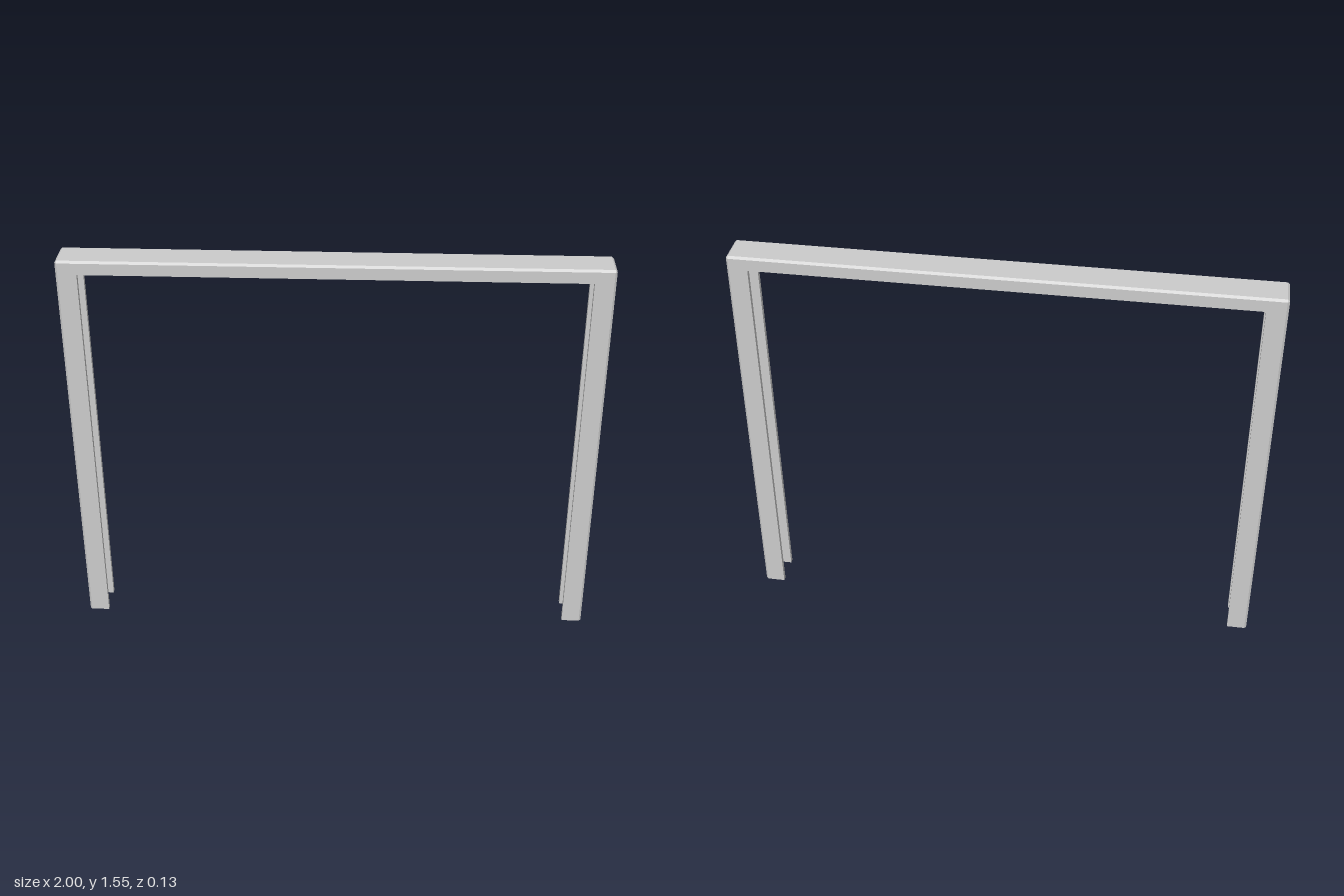
import * as THREE from 'three';
import { ConvexGeometry } from 'three/addons/geometries/ConvexGeometry.js';

const HALF_W = 1, HALF_D = 0.065, TOP = 1.552, UNDER = 1.5;
const BEVEL = 0.008, LEG_W = 0.077, LEG_T = 0.018;

const material = new THREE.MeshStandardMaterial({ color: 0xcccccc, flatShading: true });

// Convex solid from rings of [x, z] corners, each at its own height
function solid(name, rings) {
  const points = rings.flatMap(({ y, ring }) => ring.map(([x, z]) => new THREE.Vector3(x, y, z)));
  const mesh = new THREE.Mesh(new ConvexGeometry(points), material);
  mesh.name = name;
  return mesh;
}

export function createModel() {
  const group = new THREE.Group();
  group.name = 'frame';
  const xi = HALF_W - BEVEL, zi = HALF_D - BEVEL;
  const outline = [], lid = [];

  for (const sx of [-1, 1]) {
    for (const sz of [-1, 1]) {
      // Chamfered corner shared by the beam and the leg below it
      const corner = [[sx * HALF_W, sz * zi], [sx * xi, sz * HALF_D]];
      outline.push(...corner);
      lid.push([sx * xi, sz * zi]);

      // Flat leg strip, bevelled along its outer edge
      const xIn = sx * (HALF_W - LEG_W), zIn = sz * (HALF_D - LEG_T);
      const section = [...corner, [xIn, sz * HALF_D], [xIn, zIn], [sx * HALF_W, zIn]];
      const name = (sz > 0 ? 'front' : 'back') + (sx > 0 ? 'Left' : 'Right') + 'Leg';
      group.add(solid(name, [{ y: 0, ring: section }, { y: UNDER, ring: section }]));
    }
  }

  // Solid top beam with bevelled upper edges and a flat underside
  group.add(solid('topBeam', [
    { y: UNDER, ring: outline },
    { y: TOP - BEVEL, ring: outline },
    { y: TOP, ring: lid },
  ]));
  return group;
}
